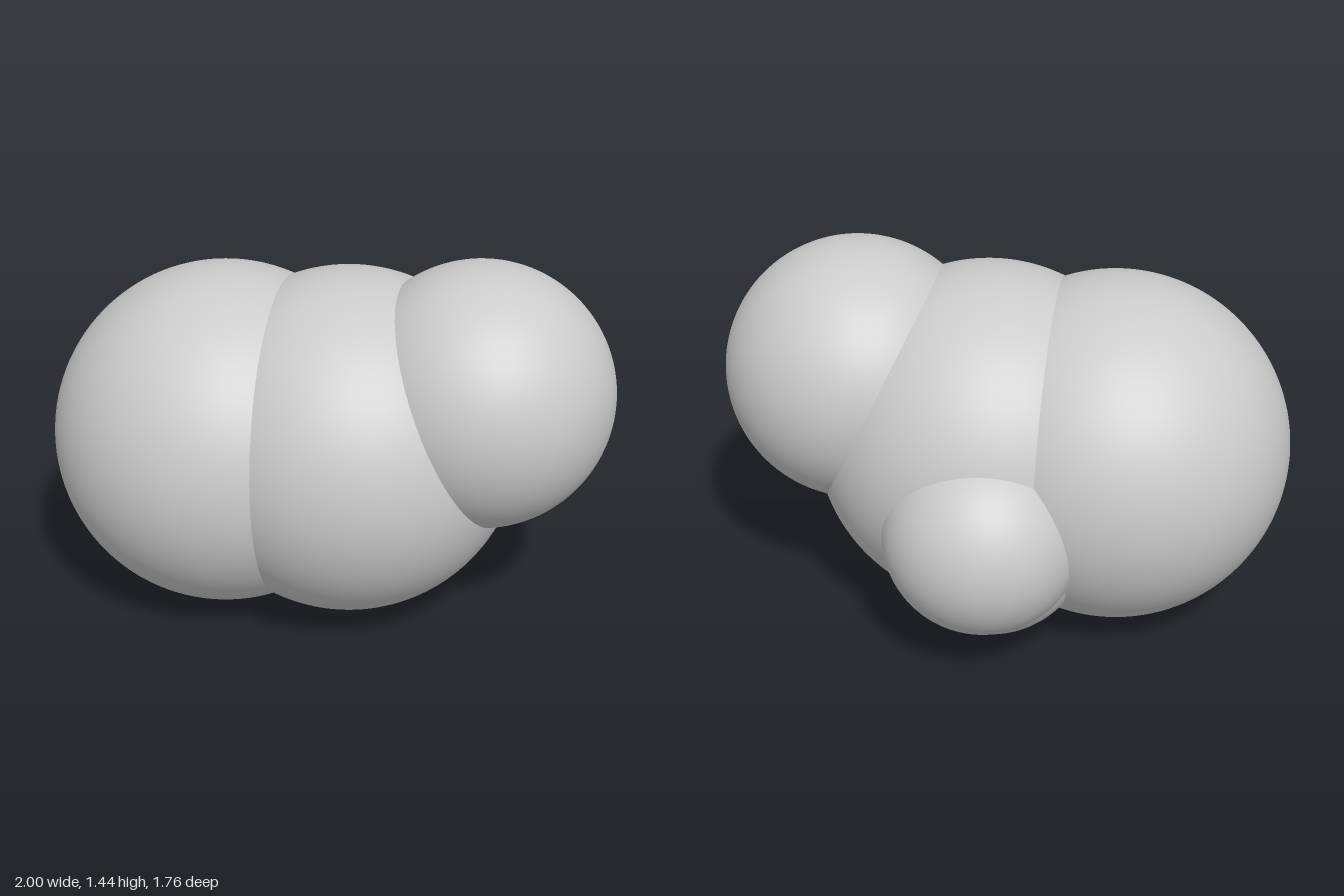
import * as THREE from 'three';

export function createModel() {
  const group = new THREE.Group();
  const material = new THREE.MeshStandardMaterial({ color: 0xcccccc });

  // Overlapping smooth balls: name, radius, centre
  const balls = [
    ['frontLargeBall', 0.673, [-0.327, 0.675, 0.207]],
    ['middleLargeBall', 0.673, [0.068, 0.69, -0.085]],
    ['upperMediumBall', 0.51, [0.487, 0.935, -0.375]],
    ['rearSmallBall', 0.375, [-0.255, 0.53, -0.447]],
    ['rearInnerSmallBall', 0.375, [-0.213, 0.465, -0.36]],
  ];

  for (const [name, radius, centre] of balls) {
    const ball = new THREE.Mesh(new THREE.SphereGeometry(radius, 96, 64), material);
    ball.name = name;
    ball.position.set(...centre);
    group.add(ball);
  }
  return group;
}
